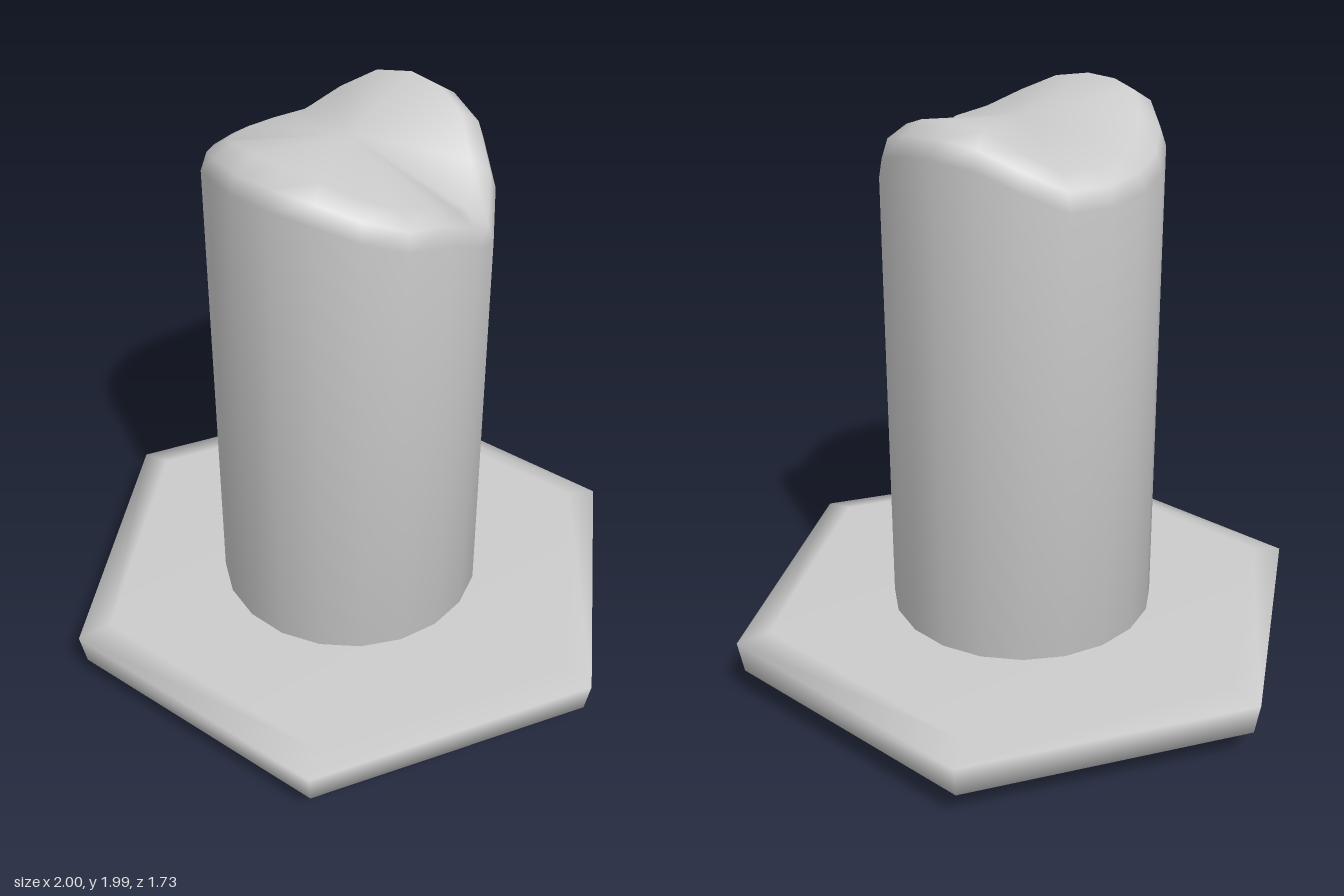
import * as THREE from 'three';

// Smooth closed solid from stacked rings, capped by a centre point at each end.
// ringPoint(ring, angle, index) returns [radius, height].
function stackedRings(sides, rings, ringPoint, bottomY, topY) {
  const pos = [0, bottomY, 0], index = [];
  for (let i = 0; i < rings; i++) {
    for (let j = 0; j < sides; j++) {
      const a = (j / sides) * Math.PI * 2;
      const [r, y] = ringPoint(i, j);
      pos.push(r * Math.cos(a), y, r * Math.sin(a));
    }
  }
  pos.push(0, topY, 0);
  const top = rings * sides + 1;
  const at = (i, j) => 1 + i * sides + (j % sides);
  for (let j = 0; j < sides; j++) {
    index.push(0, at(0, j), at(0, j + 1));
    for (let i = 0; i < rings - 1; i++) {
      index.push(at(i, j), at(i + 1, j), at(i, j + 1));
      index.push(at(i + 1, j), at(i + 1, j + 1), at(i, j + 1));
    }
    index.push(top, at(rings - 1, j + 1), at(rings - 1, j));
  }
  const geo = new THREE.BufferGeometry();
  geo.setAttribute('position', new THREE.Float32BufferAttribute(pos, 3));
  geo.setIndex(index);
  geo.computeVertexNormals();
  return geo;
}

export function createModel() {
  const group = new THREE.Group();
  const material = new THREE.MeshStandardMaterial({ color: 0xcccccc });

  // Hexagonal base plate, bevelled above and below
  const plate = [[0.69, 0], [0.98, 0.11], [1.0, 0.22], [0.89, 0.243]];
  const base = new THREE.Mesh(stackedRings(6, plate.length, (i) => plate[i], 0, 0.243), material);
  base.name = 'hexBase';
  group.add(base);

  // Height of the shaft wall around its 20 sides: two peaks, a notch at the front and a dip behind
  const wall = [
    1.83, 1.73, 1.62, 1.68, 1.75, 1.77, 1.82, 1.87, 1.89, 1.89,
    1.88, 1.83, 1.785, 1.76, 1.745, 1.745, 1.81, 1.87, 1.885, 1.87,
  ];
  // Rounded rim: [radius, rise above the wall]
  const rim = [[0.445, 0], [0.425, 0.06], [0.365, 0.1]];
  const shaftGeo = stackedRings(20, rim.length + 1, (i, j) => {
    if (i === 0) return [0.445, 0.2];
    const [r, rise] = rim[i - 1];
    return [r, wall[j] + rise];
  }, 0.2, 1.93);
  const shaft = new THREE.Mesh(shaftGeo, material);
  shaft.name = 'shaft';
  group.add(shaft);

  return group;
}
